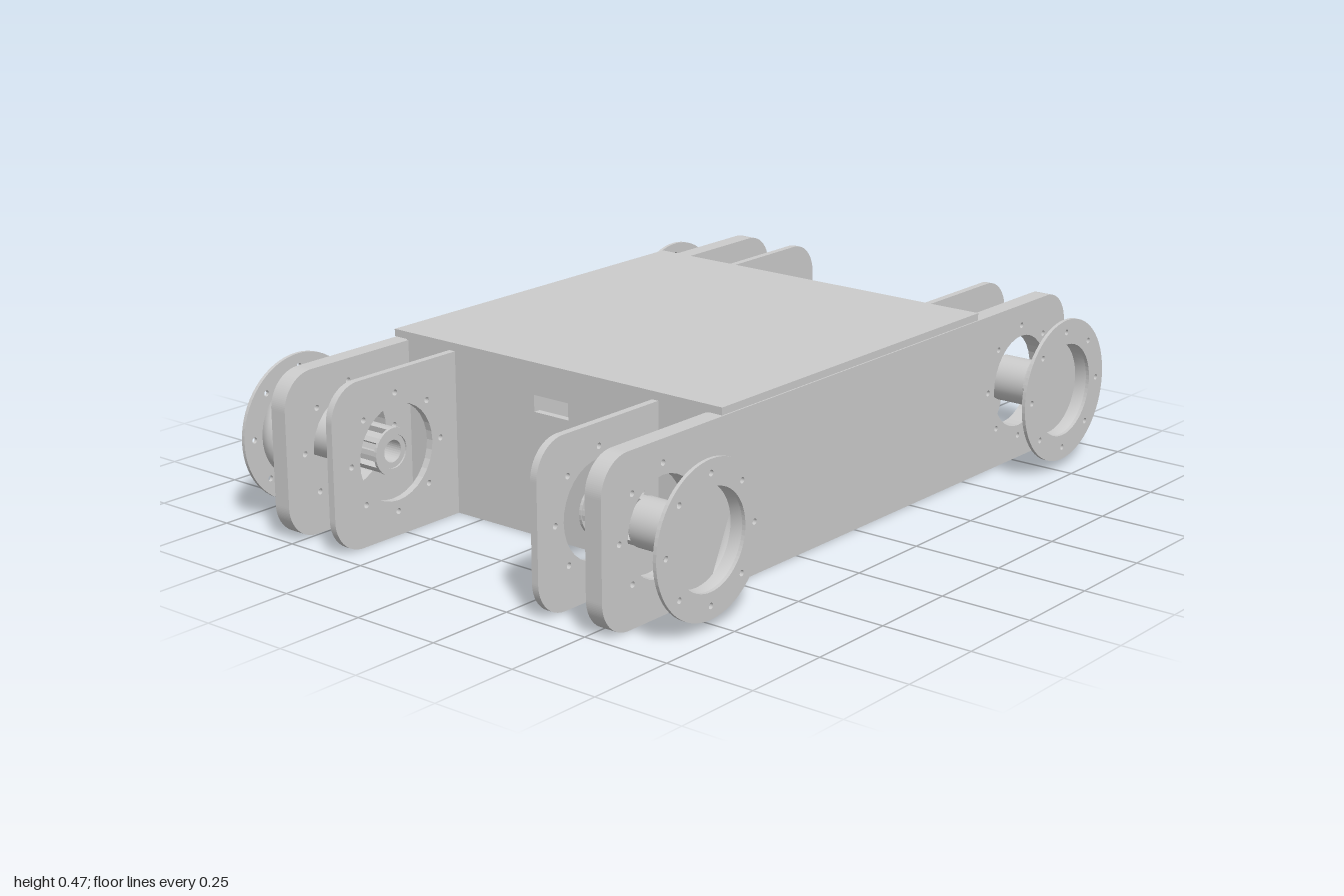
import * as THREE from 'three';

const grey = new THREE.MeshStandardMaterial({ color: 0xcccccc, side: THREE.DoubleSide });
const TAU = Math.PI * 2;
const WX = 0.777, WY = 0.225; // wheel axle position
const BODY = 0.555, PLATE_H = 0.445, CORNER = 0.095;

function add(parent, name, geometry, x = 0, y = 0, z = 0) {
  const mesh = new THREE.Mesh(geometry, grey);
  mesh.name = name;
  mesh.position.set(x, y, z);
  parent.add(mesh);
  return mesh;
}

function extrude(shape, depth, curveSegments = 16) {
  return new THREE.ExtrudeGeometry(shape, { depth, bevelEnabled: false, curveSegments });
}

function cutCircle(shape, x, y, r) {
  shape.holes.push(new THREE.Path().absarc(x, y, r, 0, TAU, true));
}

function cutBoltCircle(shape, x, y, ringR, holeR, count = 8) {
  for (let i = 0; i < count; i++) {
    const a = (i / count) * TAU;
    cutCircle(shape, x + ringR * Math.cos(a), y + ringR * Math.sin(a), holeR);
  }
}

// Upright plate from x0 to x1; each end is either rounded or square
function plateShape(x0, x1, r0, r1) {
  const s = new THREE.Shape();
  s.moveTo(x0 + r0, 0);
  s.lineTo(x1 - r1, 0);
  if (r1) s.absarc(x1 - r1, r1, r1, -Math.PI / 2, 0, false);
  s.lineTo(x1, PLATE_H - r1);
  if (r1) s.absarc(x1 - r1, PLATE_H - r1, r1, 0, Math.PI / 2, false);
  s.lineTo(x0 + r0, PLATE_H);
  if (r0) s.absarc(x0 + r0, PLATE_H - r0, r0, Math.PI / 2, Math.PI, false);
  s.lineTo(x0, r0);
  if (r0) s.absarc(x0 + r0, r0, r0, Math.PI, Math.PI * 1.5, false);
  return s;
}

// Surface of revolution about z
function latheZ(points) {
  return new THREE.LatheGeometry(points.map(p => new THREE.Vector2(...p)), 48).rotateX(Math.PI / 2);
}

// Toothed hollow shaft outline
function splineShape(teeth, rOut, rIn, bore) {
  const s = new THREE.Shape();
  for (let i = 0; i < teeth; i++) {
    [[-0.3, rIn], [-0.28, rOut], [0, rOut], [0.28, rOut], [0.3, rIn]].forEach(([t, r], k) => {
      const a = ((i + t) / teeth) * TAU;
      s[i + k === 0 ? 'moveTo' : 'lineTo'](r * Math.cos(a), r * Math.sin(a));
    });
  }
  cutCircle(s, 0, 0, bore);
  return s;
}

// Wheel hub on the +x axle, with its outer side towards +z
function makeHub() {
  const hub = new THREE.Group();
  hub.name = 'wheelHub';
  hub.position.set(WX, WY, 0);

  const flange = new THREE.Shape().absarc(0, 0, 0.2, 0, TAU, false);
  cutCircle(flange, 0, 0, 0.13);
  cutBoltCircle(flange, 0, 0, 0.165, 0.008);
  add(hub, 'hubFlange', extrude(flange, 0.01, 32), 0, 0, 0.69);

  // Cup: outer wall with rounded back edge, then inner wall
  add(hub, 'hubCup', latheZ([
    [0.13, 0.655], [0.13, 0.69], [0.138, 0.69], [0.138, 0.67],
    [0.134, 0.656], [0.127, 0.648], [0.115, 0.645],
  ]));
  // Cup floor with a chord-shaped window
  const floor = new THREE.Shape().absarc(0, 0, 0.13, Math.PI * 1.34, Math.PI * 2.94, false);
  floor.closePath();
  add(hub, 'hubFloor', extrude(floor, 0.01, 32), 0, 0, 0.645);

  add(hub, 'hubNeck', new THREE.CylinderGeometry(0.064, 0.064, 0.14, 48).rotateX(Math.PI / 2), 0, 0, 0.575);
  add(hub, 'splinedShaft', extrude(splineShape(8, 0.062, 0.046, 0.03), 0.16), 0, 0, 0.35);
  for (const z of [0.345, 0.5]) {
    const collar = new THREE.Shape().absarc(0, 0, 0.064, 0, TAU, false);
    cutCircle(collar, 0, 0, 0.045);
    add(hub, 'shaftCollar', extrude(collar, 0.008), 0, 0, z);
  }
  return hub;
}

export function createModel() {
  const model = new THREE.Group();
  model.name = 'chassis';

  // Body: top sheet and two slotted end walls, open underneath
  add(model, 'topSheet', new THREE.BoxGeometry(BODY * 2, 0.02, BODY * 2), 0, 0.457, 0);
  const wall = new THREE.Shape();
  [[-0.51, 0], [0.51, 0], [0.51, 0.45], [-0.51, 0.45]].forEach(([x, y], i) => i ? wall.lineTo(x, y) : wall.moveTo(x, y));
  wall.holes.push(new THREE.Path([[-0.058, 0.335], [-0.058, 0.38], [0.058, 0.38], [0.058, 0.335]].map(p => new THREE.Vector2(...p))));
  for (const x of [BODY - 0.02, -BODY]) {
    add(model, 'endWall', extrude(wall, 0.02).rotateY(Math.PI / 2), x, 0, 0);
  }

  // Long side plates running past both ends of the body
  const side = plateShape(-1, 1, CORNER, CORNER);
  for (const x of [-WX, WX]) {
    cutCircle(side, x, WY, 0.13);
    cutBoltCircle(side, x, WY, 0.16, 0.008);
  }
  for (const z of [0.505, -0.555]) add(model, 'sidePlate', extrude(side, 0.05), 0, 0, z);

  // Four corners: inner bearing plate and hub, mirrored in x and z
  const bracket = plateShape(BODY, 1, 0, CORNER);
  cutCircle(bracket, WX, WY, 0.13);
  cutBoltCircle(bracket, WX, WY, 0.16, 0.008);
  for (const sx of [1, -1]) {
    for (const sz of [1, -1]) {
      const corner = new THREE.Group();
      corner.name = 'wheelCorner';
      corner.scale.set(sx, 1, sz);
      add(corner, 'innerPlate', extrude(bracket, 0.02), 0, 0, 0.335);
      corner.add(makeHub());
      model.add(corner);
    }
  }
  return model;
}
